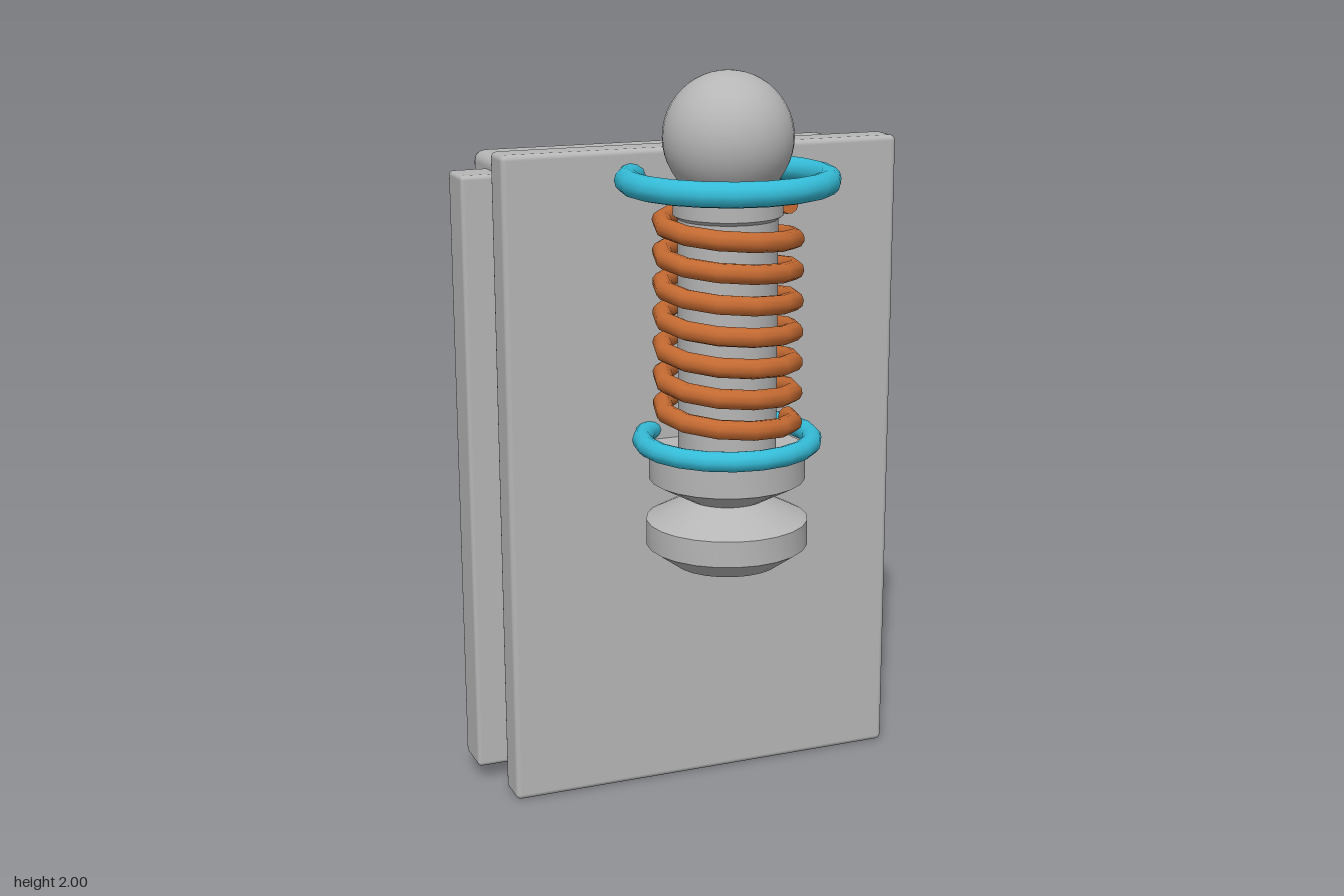
import * as THREE from 'three';
import { toCreasedNormals } from 'three/addons/utils/BufferGeometryUtils.js';
import { RoundedBoxGeometry } from 'three/addons/geometries/RoundedBoxGeometry.js';

const makeMaterial = (name, color) => {
  const m = new THREE.MeshStandardMaterial({ color });
  m.name = name;
  return m;
};

// Coil around the y axis, climbing from the +x side through the front
class Helix extends THREE.Curve {
  constructor(radius, height, turns) {
    super();
    Object.assign(this, { radius, height, turns });
  }
  getPoint(t, target = new THREE.Vector3()) {
    const a = t * this.turns * Math.PI * 2;
    return target.set(this.radius * Math.cos(a), this.height * t, this.radius * Math.sin(a));
  }
}

export function createModel() {
  const model = new THREE.Group();
  model.name = 'springPlunger';
  const grey = makeMaterial('grey', 0xb6b6b6);
  const cyan = makeMaterial('cyan', 0x35bcd8);
  const copper = makeMaterial('copper', 0xc46a32);

  const add = (parent, name, geometry, material, x = 0, y = 0, z = 0) => {
    const mesh = new THREE.Mesh(geometry, material);
    mesh.name = name;
    mesh.position.set(x, y, z);
    parent.add(mesh);
    return mesh;
  };

  // Rounded box given by its limits on each axis
  const addBox = (name, [x0, x1], [y0, y1], [z0, z1], bevel) =>
    add(model, name, new RoundedBoxGeometry(x1 - x0, y1 - y0, z1 - z0, 2, bevel), grey,
      (x0 + x1) / 2, (y0 + y1) / 2, (z0 + z1) / 2);

  // Housing: front plate, rear body, side strip
  addBox('frontPlate', [-0.533, 0.593], [0, 1.79], [-0.118, -0.014], 0.015);
  const body = addBox('rearBody', [-0.498, 0.56], [0.045, 1.755], [-0.43, -0.1], 0.03);
  const pos = body.geometry.attributes.position;
  for (let i = 0; i < pos.count; i++) {
    // Slight draft towards the back
    pos.setX(i, pos.getX(i) * (1 - 0.03 * (0.165 - pos.getZ(i))));
  }
  addBox('sideStrip', [-0.597, -0.48], [0.045, 1.72], [-0.297, -0.172], 0.012);

  // Plunger assembly, sharing one vertical axis
  const plunger = new THREE.Group();
  plunger.name = 'plunger';
  plunger.position.set(0.031, 0, 0.133);
  model.add(plunger);

  add(plunger, 'ballKnob', new THREE.SphereGeometry(0.171, 32, 24), grey, 0, 1.829, 0);

  // Shaft with collar on top and two flanged discs at the foot
  const profile = [
    [0, 0.683], [0.145, 0.683], [0.218, 0.735], [0.218, 0.805], [0.105, 0.863],
    [0.21, 0.92], [0.21, 1.0], [0.132, 1.0], [0.132, 1.62], [0.145, 1.63],
    [0.145, 1.7], [0, 1.7],
  ].map(([r, y]) => new THREE.Vector2(r, y));
  add(plunger, 'shaft', toCreasedNormals(new THREE.LatheGeometry(profile, 24), 0.5), grey);

  // Retaining rings: name, ring radius, tube radius, height
  for (const [name, radius, tube, y] of [
    ['upperRing', 0.262, 0.033, 1.72],
    ['lowerRing', 0.227, 0.027, 1.025],
  ]) {
    const geometry = new THREE.TorusGeometry(radius, tube, 12, 20).rotateX(Math.PI / 2);
    add(plunger, name, geometry, cyan, 0, y, 0);
  }

  // Coil spring with capped ends
  const spring = new THREE.Group();
  spring.name = 'spring';
  spring.position.y = 1.07;
  plunger.add(spring);
  const turns = 7, wire = 0.026;
  const helix = new Helix(0.175, 0.575, turns);
  add(spring, 'springCoil', new THREE.TubeGeometry(helix, turns * 12, wire, 10), copper);
  for (const [name, t, sign] of [['springLowerEnd', 0, -1], ['springUpperEnd', 1, 1]]) {
    const cap = add(spring, name, new THREE.CircleGeometry(wire, 10), copper);
    cap.position.copy(helix.getPoint(t));
    const direction = helix.getTangent(t).multiplyScalar(sign);
    cap.quaternion.setFromUnitVectors(new THREE.Vector3(0, 0, 1), direction);
  }

  return model;
}
